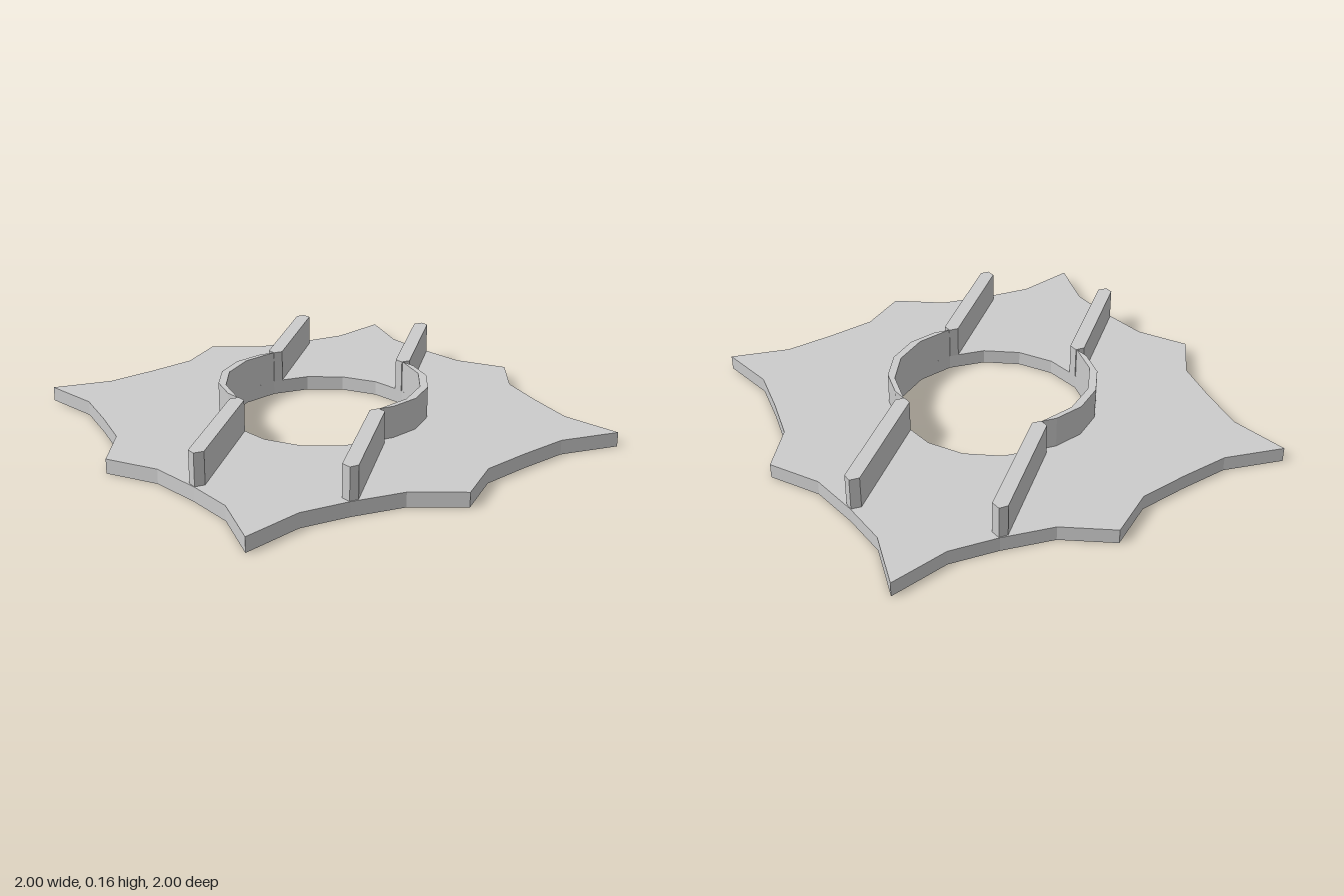
import * as THREE from 'three';

const BASE = 0.05, TOP = 0.16, HOLE = 0.335;
const material = new THREE.MeshStandardMaterial({ color: 0xcccccc, flatShading: true });
const toVectors = (points) => points.map(([x, y]) => new THREE.Vector2(x, y));

// Flat plan shape raised from height y0 to y1
function slab(name, shape, y0, y1) {
  const geometry = new THREE.ExtrudeGeometry(shape, { depth: y1 - y0, bevelEnabled: false });
  geometry.rotateX(-Math.PI / 2).translate(0, y0, 0);
  const mesh = new THREE.Mesh(geometry, material);
  mesh.name = name;
  return mesh;
}

function arc(radius, from, to, steps) {
  return Array.from({ length: steps + 1 }, (_, i) => {
    const a = from + (to - from) * i / steps;
    return [radius * Math.cos(a), radius * Math.sin(a)];
  });
}

export function createModel() {
  const group = new THREE.Group();
  group.name = 'starPlate';

  // Eight-pointed plate: one quadrant mirrored round, with a 16-sided hole
  const quadrant = [[1, 0], [0.82, 0.11], [0.71, 0.25], [0.61, 0.39], [0.575, 0.575],
    [0.39, 0.615], [0.24, 0.715], [0.11, 0.82], [0, 1]];
  const upper = [...quadrant, ...quadrant.slice(0, -1).reverse().map(([x, y]) => [-x, y])];
  const lower = upper.slice(1, -1).reverse().map(([x, y]) => [x, -y]);
  const plate = new THREE.Shape(toVectors([...upper, ...lower]));
  plate.holes.push(new THREE.Path(toVectors(arc(HOLE, 0, -2 * Math.PI, 16).slice(0, -1))));
  group.add(slab('plate', plate, 0, BASE));

  for (const side of [1, -1]) {
    const label = side > 0 ? 'left' : 'right';

    // Straight rails with pointed ends
    for (const end of [1, -1]) {
      const rail = [[0.235, 0.235], [0.26, 0.255], [0.26, 0.695], [0.237, 0.715], [0.21, 0.695], [0.21, 0.255]];
      const shape = new THREE.Shape(toVectors(rail.map(([x, y]) => [side * x, end * y])));
      group.add(slab(`${label}${end > 0 ? 'Back' : 'Front'}Rail`, shape, BASE, TOP));
    }

    // Curved wall along the hole, tapering to its ends
    const q = Math.PI / 4;
    const outer = [[0.237, -0.237], [0.28, -0.205], [0.34, -0.115], [0.362, 0],
      [0.34, 0.115], [0.28, 0.205], [0.237, 0.237]];
    const inner = arc(HOLE, q, -q, 4).slice(1, -1);
    const wall = new THREE.Shape(toVectors([...outer, ...inner].map(([x, y]) => [side * x, y])));
    group.add(slab(`${label}CurvedWall`, wall, BASE, TOP));
  }
  return group;
}
